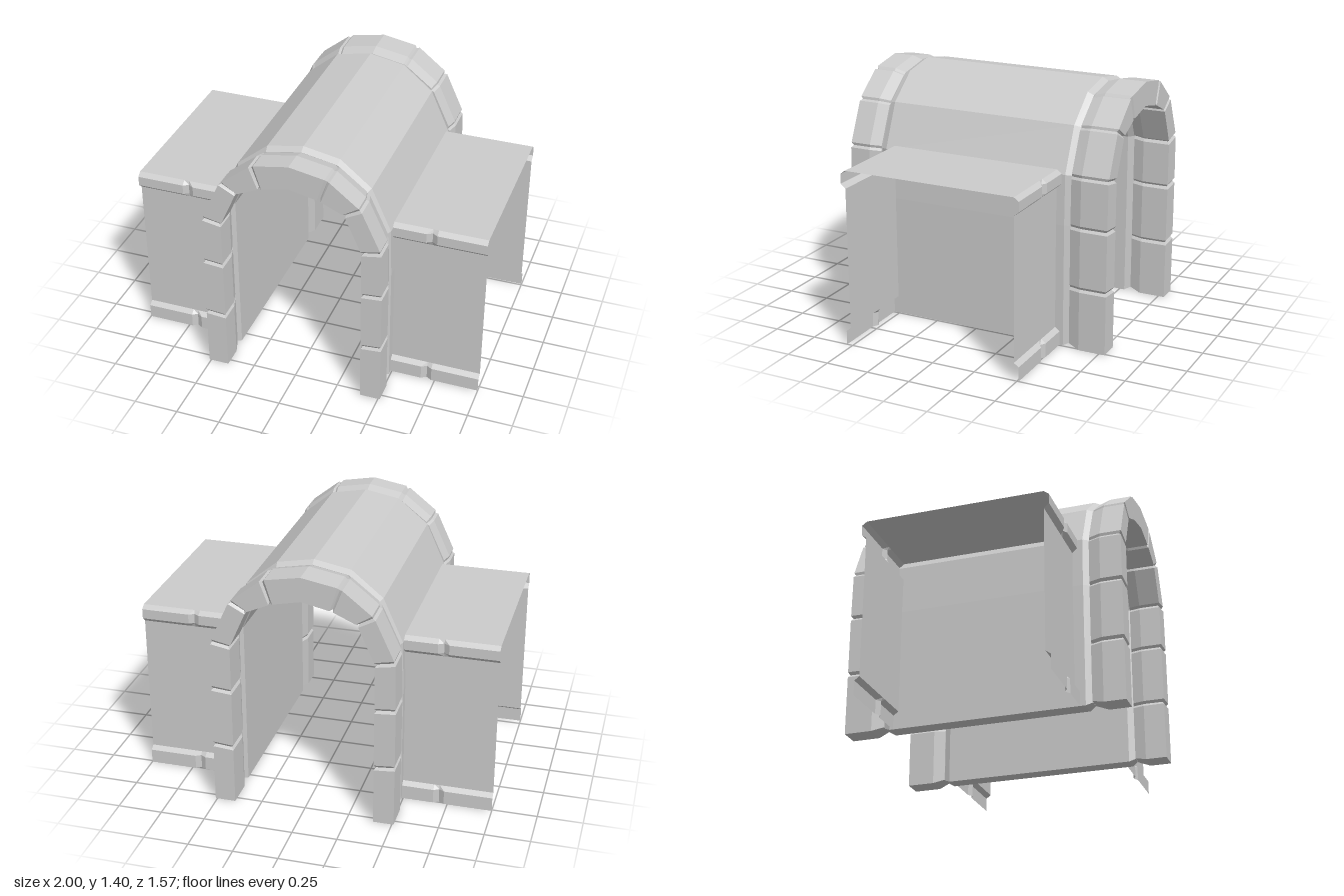
import * as THREE from 'three';

const stone = new THREE.MeshStandardMaterial({ color: 0xcccccc, flatShading: true });
const sheet = new THREE.MeshStandardMaterial({ color: 0xcccccc, flatShading: true, side: THREE.DoubleSide });

// Arch stations: [outer x, outer y, inner x, inner y, stone joint?]
const HALF = [
  [0.51, 0, 0.395, 0, 0], [0.51, 0.35, 0.395, 0.34, 1], [0.51, 0.695, 0.395, 0.685, 1],
  [0.503, 0.975, 0.395, 0.955, 1], [0.39, 1.22, 0.3, 1.17, 1], [0.21, 1.362, 0.165, 1.23, 1],
];
const ARCH = [...HALF, [0, 1.4, 0, 1.265, 0],
  ...[...HALF].reverse().map(([a, b, c, d, j]) => [-a, b, -c, d, j])];

// Skins equal-length loops of points; optionally closes the loops and caps the ends
function loft(rows, solid) {
  const n = rows[0].length, tris = [];
  const quad = (a, b, c, d) => tris.push([a, b, c], [a, c, d]);
  for (let i = 0; i < rows.length - 1; i++) {
    for (let k = 0; k < (solid ? n : n - 1); k++) {
      const m = (k + 1) % n;
      quad(rows[i][k], rows[i][m], rows[i + 1][m], rows[i + 1][k]);
    }
  }
  if (solid) {
    for (let k = 0; k < n / 2 - 1; k++) {
      const a = rows[0], b = rows[rows.length - 1];
      quad(a[n - 1 - k], a[n - 2 - k], a[k + 1], a[k]);
      quad(b[k], b[k + 1], b[n - 2 - k], b[n - 1 - k]);
    }
    // Turn every face outward
    let volume = 0;
    for (const [a, b, c] of tris) volume += a.dot(b.clone().cross(c));
    if (volume < 0) tris.forEach((t) => t.reverse());
  }
  const geometry = new THREE.BufferGeometry().setFromPoints(tris.flat());
  geometry.computeVertexNormals();
  return geometry;
}

// Ring of section points [z, inset] around the thickness of the arch at one station
function archRow([ox, oy, ix, iy], section, extra = 0, zShift = 0) {
  const len = Math.hypot(ox - ix, oy - iy);
  const point = (z, inset, inner) => {
    const d = (inset + extra) / len, t = inner ? 1 - d : d;
    const y = oy + (iy - oy) * t;
    return new THREE.Vector3(ox + (ix - ox) * t, Math.max(y, inset), z + zShift);
  };
  return [
    ...section.map(([z, s]) => point(z, s, false)),
    ...[...section].reverse().map(([z, s]) => point(z, s, true)),
  ];
}

// Station a little way from p towards q
function towards(p, q, distance) {
  const t = distance / Math.hypot(q[0] - p[0], q[1] - p[1]);
  return p.map((v, i) => v + (q[i] - v) * t);
}

// Stone end ring with V grooves between its blocks
function rim(zFace, zShoulder, zGroove) {
  const section = [[zFace, 0], [zShoulder, 0], [zGroove, 0.02]];
  const rows = [];
  ARCH.forEach((s, i) => {
    if (!s[4]) return rows.push(archRow(s, section));
    const cut = section.map(([z, d], k) => [k === 0 ? z - Math.sign(z) * 0.011 : z, d]);
    rows.push(
      archRow(towards(s, ARCH[i - 1], 0.015), section),
      archRow(s, cut, 0.011),
      archRow(towards(s, ARCH[i + 1], 0.015), section));
  });
  return loft(rows, true);
}

// Vault between the rings, slightly narrower, with bevelled ends
function vault() {
  const section = [[0.6, 0.018], [0.565, 0], [-0.53, 0], [-0.565, 0.018]];
  const rows = ARCH.map(([ox, oy, ix, iy]) =>
    archRow([ox * 0.965, oy, ix * 1.02, iy], section));
  return loft(rows, true);
}

// Side wing: open sheet with moulded base and eaves, notched at x = 0.7
function wing(side) {
  const zMid = 0.0125, wall = 0.495, trim = 0.5225;
  const profile = [[0, trim], [0.08, trim], [0.1, wall], [0.9, wall],
    [0.925, trim], [0.98, trim], [1, wall]];
  const rows = [[0.485, 0], [0.67, 0], [0.7, 0.018], [0.73, 0], [1, 0]].map(([x, notch]) => {
    const line = (dir) => profile.map(([y, z]) =>
      new THREE.Vector3(side * x, y, zMid + dir * (z === trim ? z - notch : z)));
    return [...line(1), ...line(-1).reverse()];
  });
  return loft(rows, false);
}

export function createModel() {
  const group = new THREE.Group();
  const add = (name, geometry, material) => {
    const mesh = new THREE.Mesh(geometry, material);
    mesh.name = name;
    group.add(mesh);
  };
  add('tunnelVault', vault(), stone);
  add('frontStoneRim', rim(0.785, 0.665, 0.6), stone);
  add('backStoneRim', rim(-0.785, -0.63, -0.565), stone);
  add('leftWing', wing(1), sheet);
  add('rightWing', wing(-1), sheet);
  return group;
}
